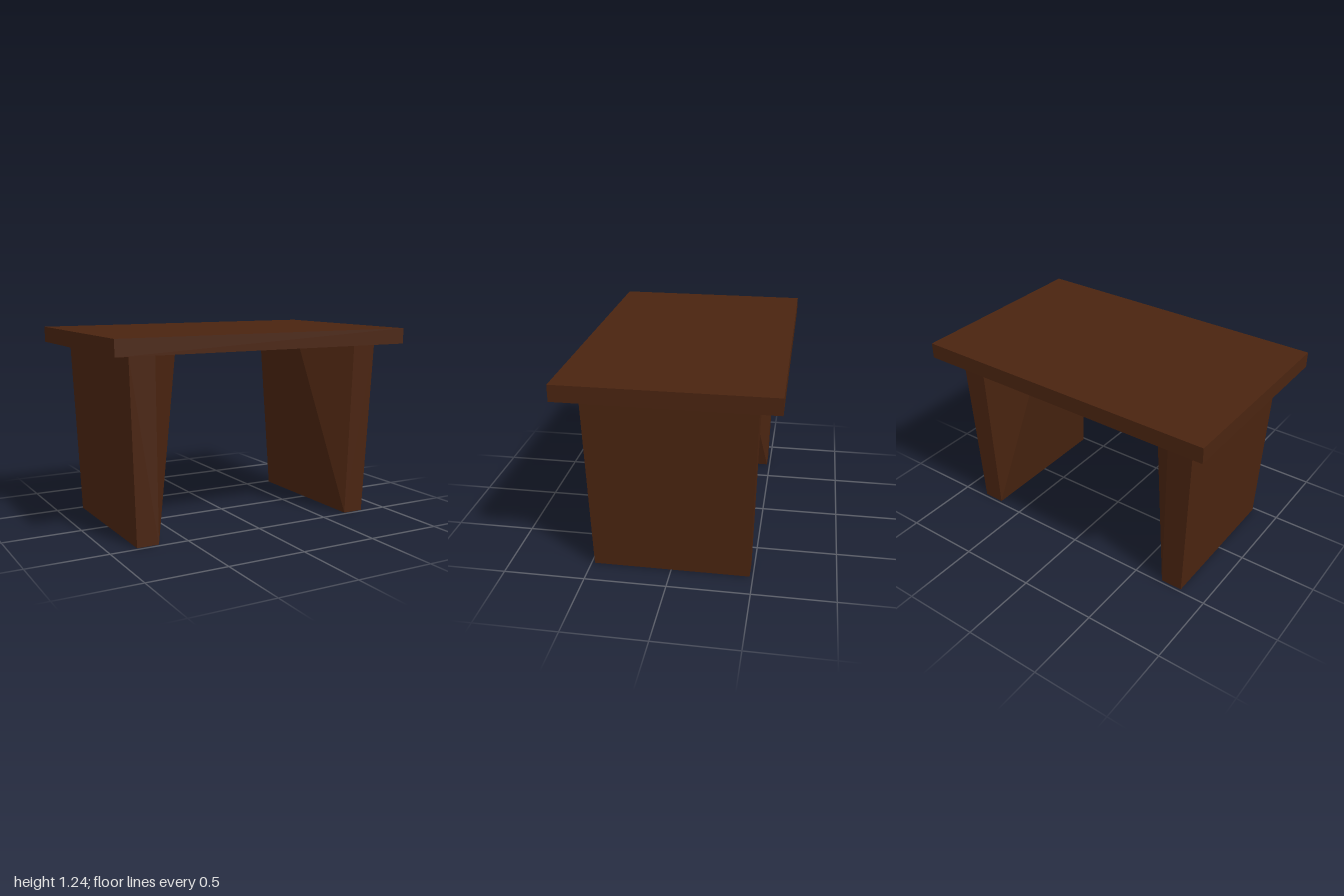
import * as THREE from 'three';
import { ConvexGeometry } from 'three/addons/geometries/ConvexGeometry.js';

const TOP_Y = 1.24, LEG_Y = 1.14;

// Half outlines of one leg panel as [x, z]: outer corner, inner corner, brace corner
const LEG_SECTIONS = [
  { y: 0, outline: [[0.825, 0.48], [0.685, 0.48], [0.685, 0.42]] },
  { y: LEG_Y, outline: [[0.868, 0.51], [0.705, 0.51], [0.45, 0.24]] },
];

// Tapered panel that swells inward to a brace under the top
function makeLeg(side, material) {
  const points = [];
  for (const { y, outline } of LEG_SECTIONS) {
    for (const [x, z] of outline) {
      for (const end of [-1, 1]) points.push(new THREE.Vector3(side * x, y, end * z));
    }
  }
  const leg = new THREE.Mesh(new ConvexGeometry(points), material);
  leg.name = side > 0 ? 'leftLegPanel' : 'rightLegPanel';
  return leg;
}

export function createModel() {
  const wood = new THREE.MeshStandardMaterial({ color: 0x4a2410 });
  wood.name = 'dark brown wood';

  const table = new THREE.Group();
  table.name = 'table';

  // Flat rectangular top
  const top = new THREE.Mesh(new THREE.BoxGeometry(2, TOP_Y - LEG_Y, 1.28), wood);
  top.name = 'tableTop';
  top.position.y = (TOP_Y + LEG_Y) / 2;
  table.add(top);

  // Mirrored leg panels
  for (const side of [-1, 1]) table.add(makeLeg(side, wood));

  return table;
}
